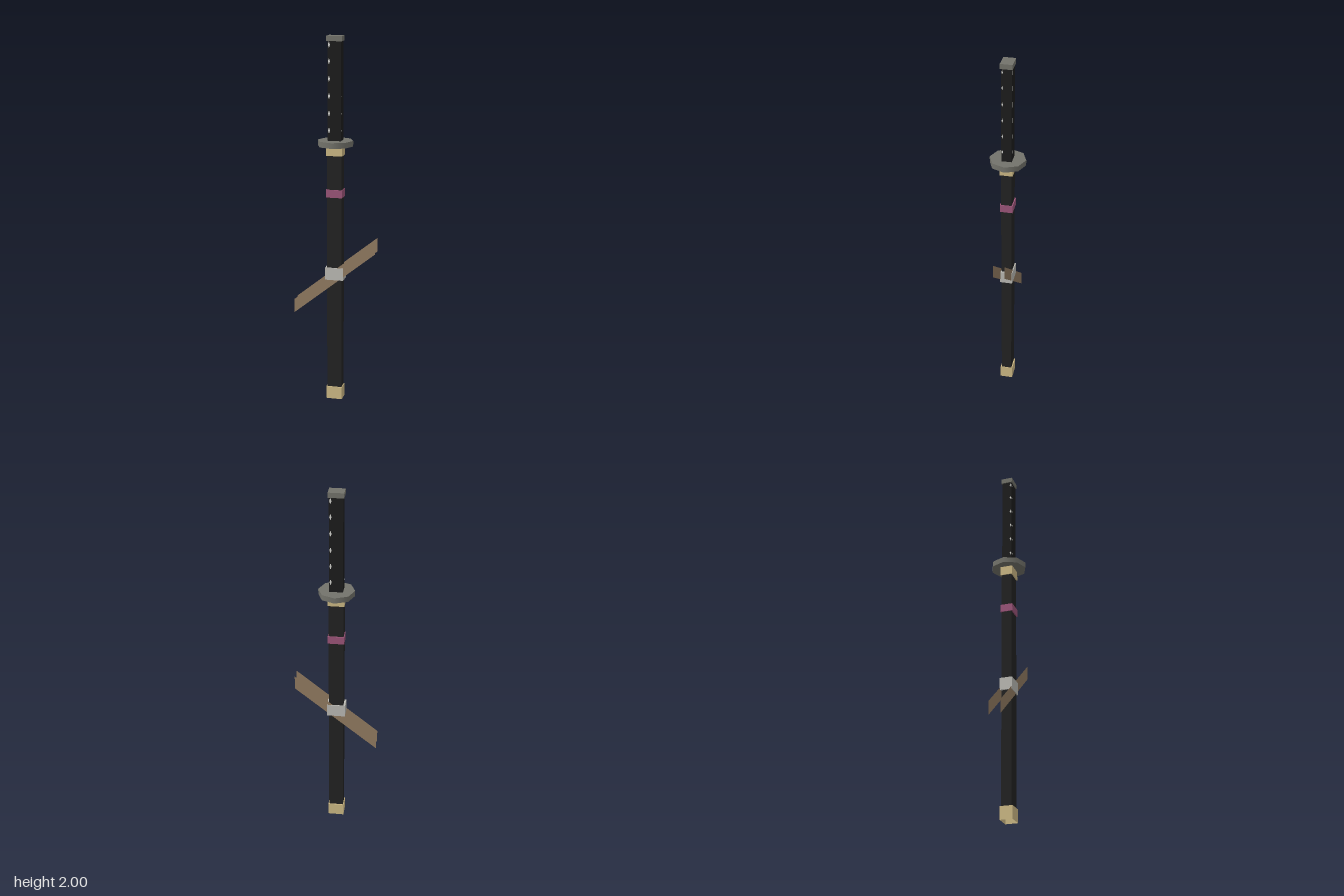
import * as THREE from 'three';

const mat = (name, color, extra = {}) => {
  const m = new THREE.MeshStandardMaterial({ color, ...extra });
  m.name = name;
  return m;
};

export function createModel() {
  const root = new THREE.Group();
  root.name = 'sheathedSword';

  const black = mat('black lacquer', 0x222222);
  const wrapBlack = mat('handle black', 0x1c1c1c);
  const brass = mat('pale brass', 0xcdb985, { side: THREE.DoubleSide });
  const plum = mat('plum cord', 0x9c5579);
  const silver = mat('silver clasp', 0xbbbab4);
  const iron = mat('grey iron', 0x73736b);
  const leather = mat('brown leather', 0x927b61, { side: THREE.DoubleSide });
  const ivory = mat('ivory inlay', 0xd6d6d2, { side: THREE.DoubleSide });

  const add = (name, geometry, material, parent = root) => {
    const mesh = new THREE.Mesh(geometry, material);
    mesh.name = name;
    parent.add(mesh);
    return mesh;
  };
  // Box from half width, half depth and a height range
  const block = (name, hx, hz, y0, y1, material) => {
    const g = new THREE.BoxGeometry(hx * 2, y1 - y0, hz * 2);
    return add(name, g.translate(0, (y0 + y1) / 2, 0), material);
  };

  // Sheath and its fittings
  block('sheath', 0.04, 0.028, 0.065, 1.38, black);
  block('sheathMouth', 0.044, 0.034, 1.375, 1.426, brass);
  block('cordBand', 0.044, 0.034, 1.15, 1.192, plum);
  block('strapClasp', 0.05, 0.034, 0.692, 0.76, silver);

  // End cap: a box with its underside left open
  const cap = block('sheathEndCap', 0.044, 0.034, 0, 0.07, brass);
  const index = Array.from(cap.geometry.index.array);
  index.splice(18, 6);
  cap.geometry.setIndex(index);

  // Slanted flat straps, front and back, with upright ends
  const strapShape = new THREE.Shape([
    [-0.225, 0.49], [0.225, 0.852], [0.225, 0.928], [-0.225, 0.566],
  ].map(([x, y]) => new THREE.Vector2(x, y)));
  for (const [name, z] of [['frontStrap', 0.031], ['backStrap', -0.031]]) {
    add(name, new THREE.ShapeGeometry(strapShape), leather).position.z = z;
  }

  // Octagonal guard, grip and pommel
  add('guard', new THREE.CylinderGeometry(0.096, 0.096, 0.03, 8).translate(0, 1.44, 0), iron);
  block('grip', 0.036, 0.027, 1.45, 1.975, wrapBlack);
  block('pommel', 0.041, 0.032, 1.973, 2, iron);

  // Rows of small inlays on the four sides of the grip
  const inlays = new THREE.Group();
  inlays.name = 'gripInlays';
  root.add(inlays);
  const diamond = (w, h) => new THREE.ShapeGeometry(new THREE.Shape([
    new THREE.Vector2(-w, 0), new THREE.Vector2(0, -h),
    new THREE.Vector2(w, 0), new THREE.Vector2(0, h),
  ]));
  const wide = diamond(0.006, 0.017);
  const narrow = diamond(0.004, 0.012);
  for (let i = 0; i < 6; i++) {
    const y = 1.51 + i * 0.09 - (i === 5 ? 0.005 : 0);
    for (const s of [1, -1]) {
      add('faceInlay', wide, ivory, inlays).position.set(-0.028 * s, y, 0.0278 * s);
      const side = add('sideInlay', narrow, ivory, inlays);
      side.position.set(0.0368 * s, y, 0.021);
      side.rotation.y = s * Math.PI / 2;
    }
  }
  return root;
}
